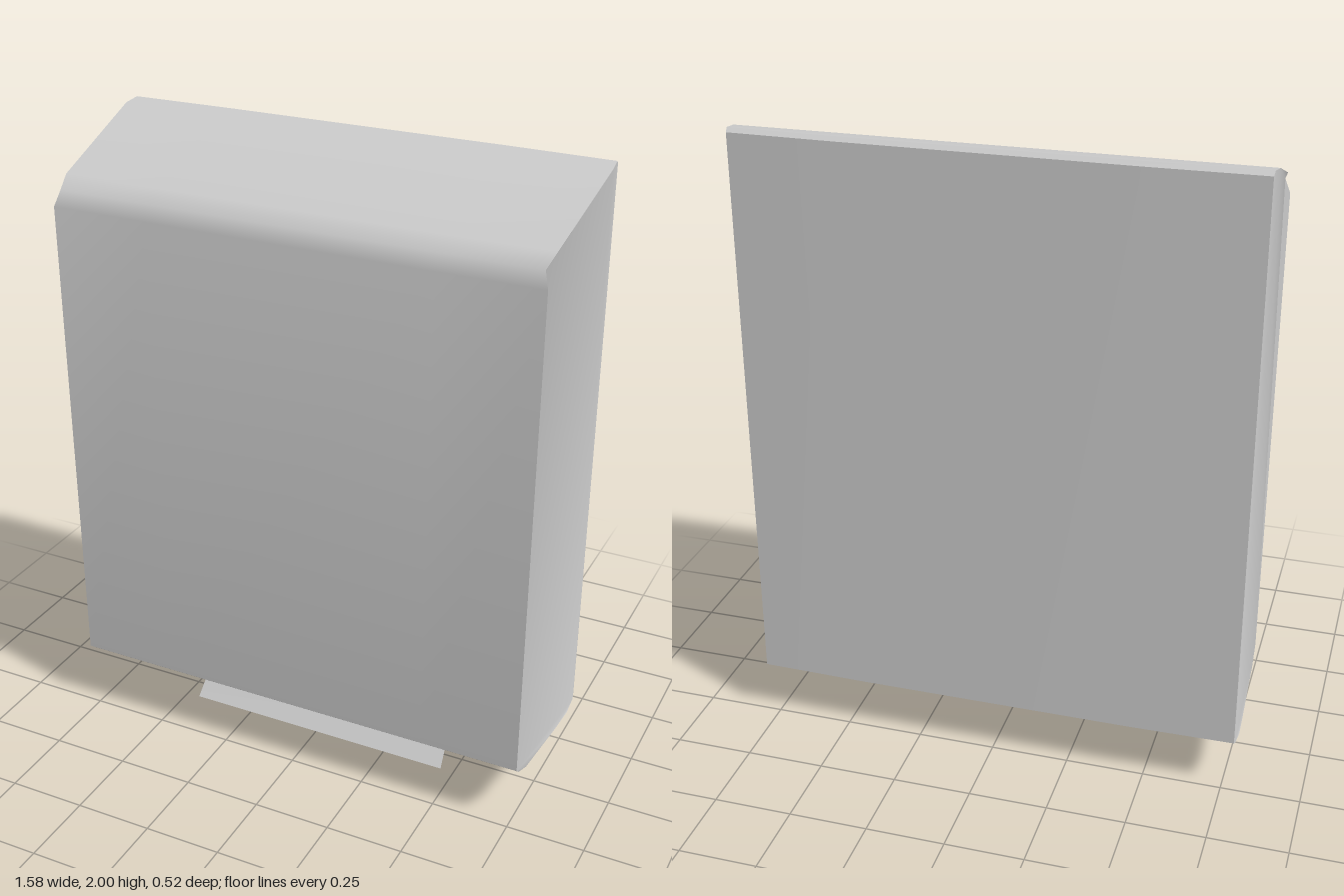
import * as THREE from 'three';
import { toCreasedNormals } from 'three/addons/utils/BufferGeometryUtils.js';

const SLOT = { halfWidth: 0.45, back: -0.08, front: 0.17, top: 0.3 };

// Side profile as [z, y, inset of the side edge], up the front and down the back
const PROFILE = [
  [0.252, 0.225, 0], [0.26, 1.79, 0], [0.243, 1.838, 0.016], [0.19, 1.872, 0.006],
  [-0.19, 1.993, 0], [-0.25, 2.0, 0.006], [-0.263, 1.988, 0.008],
  [-0.263, 0.182, 0.006], [-0.25, 0.175, 0.004], [-0.18, 0.166, 0],
  [SLOT.back, 0.168, 0], [SLOT.front, 0.186, 0], [0.222, 0.2, 0.004],
];
const SLOT_EDGE = 10; // profile segment that is open in the middle

// Casing: profile loops across the width, with a slot left open underneath
function casingGeometry() {
  const point = (station, i) => {
    const [z, y, inset] = PROFILE[i];
    const side = Math.sign(station);
    if (Math.abs(station) === 1) return [side * SLOT.halfWidth, y, z];
    const halfWidth = 0.79 - 0.043 * Math.max(0, z + 0.2) - inset;
    return [side * halfWidth, y, z < -0.2 ? z + 0.006 : z];
  };
  const stations = [-2, -1, 1, 2];
  const n = PROFILE.length;
  const positions = [];
  const triangle = (...corners) => corners.forEach((c) => positions.push(...c));

  for (let s = 0; s < 3; s++) {
    for (let i = 0; i < n; i++) {
      if (s === 1 && i === SLOT_EDGE) continue;
      const j = (i + 1) % n;
      const a = point(stations[s], i), b = point(stations[s + 1], i);
      const c = point(stations[s + 1], j), d = point(stations[s], j);
      triangle(a, b, c);
      triangle(a, c, d);
    }
  }
  // Flat side walls
  const outline = PROFILE.map(([z, y]) => new THREE.Vector2(z, y));
  for (const [a, b, c] of THREE.ShapeUtils.triangulateShape(outline, [])) {
    triangle(point(-2, a), point(-2, b), point(-2, c));
    triangle(point(2, a), point(2, c), point(2, b));
  }
  const geometry = new THREE.BufferGeometry();
  geometry.setAttribute('position', new THREE.Float32BufferAttribute(positions, 3));
  return toCreasedNormals(geometry, 0.75);
}

// Slot recess: a box without its bottom, its rim following the sloped underside
function recessGeometry() {
  const depth = SLOT.front - SLOT.back;
  const geometry = new THREE.BoxGeometry(SLOT.halfWidth * 2, 0.12, depth);
  geometry.translate(0, SLOT.top - 0.06, (SLOT.front + SLOT.back) / 2);
  const p = geometry.attributes.position;
  for (let i = 0; i < p.count; i++) {
    if (p.getY(i) < SLOT.top - 0.06) p.setY(i, p.getZ(i) > 0 ? 0.186 : 0.168);
  }
  const index = Array.from(geometry.index.array);
  index.splice(18, 6);
  geometry.setIndex(index);
  geometry.clearGroups();
  return geometry;
}

// Paper sheet: a thin strip bending forward as it hangs out of the slot
function sheetGeometry() {
  const path = [[-0.068, 0.25], [-0.06, 0.178], [-0.03, 0.12], [0.075, 0]];
  const geometry = new THREE.PlaneGeometry(2, 1, 1, path.length - 1);
  const p = geometry.attributes.position;
  for (let i = 0; i < p.count; i++) {
    const [z, y] = path[Math.floor(i / 2)];
    p.setXYZ(i, p.getX(i) * (0.455 - 0.085 * y), y, z);
  }
  geometry.computeVertexNormals();
  return geometry;
}

export function createModel() {
  const group = new THREE.Group();
  group.name = 'towelDispenser';
  const solid = new THREE.MeshStandardMaterial({ color: 0xcccccc });
  const thin = new THREE.MeshStandardMaterial({ color: 0xcccccc, side: THREE.DoubleSide });
  const inner = new THREE.MeshStandardMaterial({ color: 0xcccccc, side: THREE.BackSide });

  const add = (name, geometry, material) => {
    const mesh = new THREE.Mesh(geometry, material);
    mesh.name = name;
    group.add(mesh);
  };
  add('casing', casingGeometry(), solid);
  add('slotRecess', recessGeometry(), inner);
  add('paperSheet', sheetGeometry(), thin);
  return group;
}
